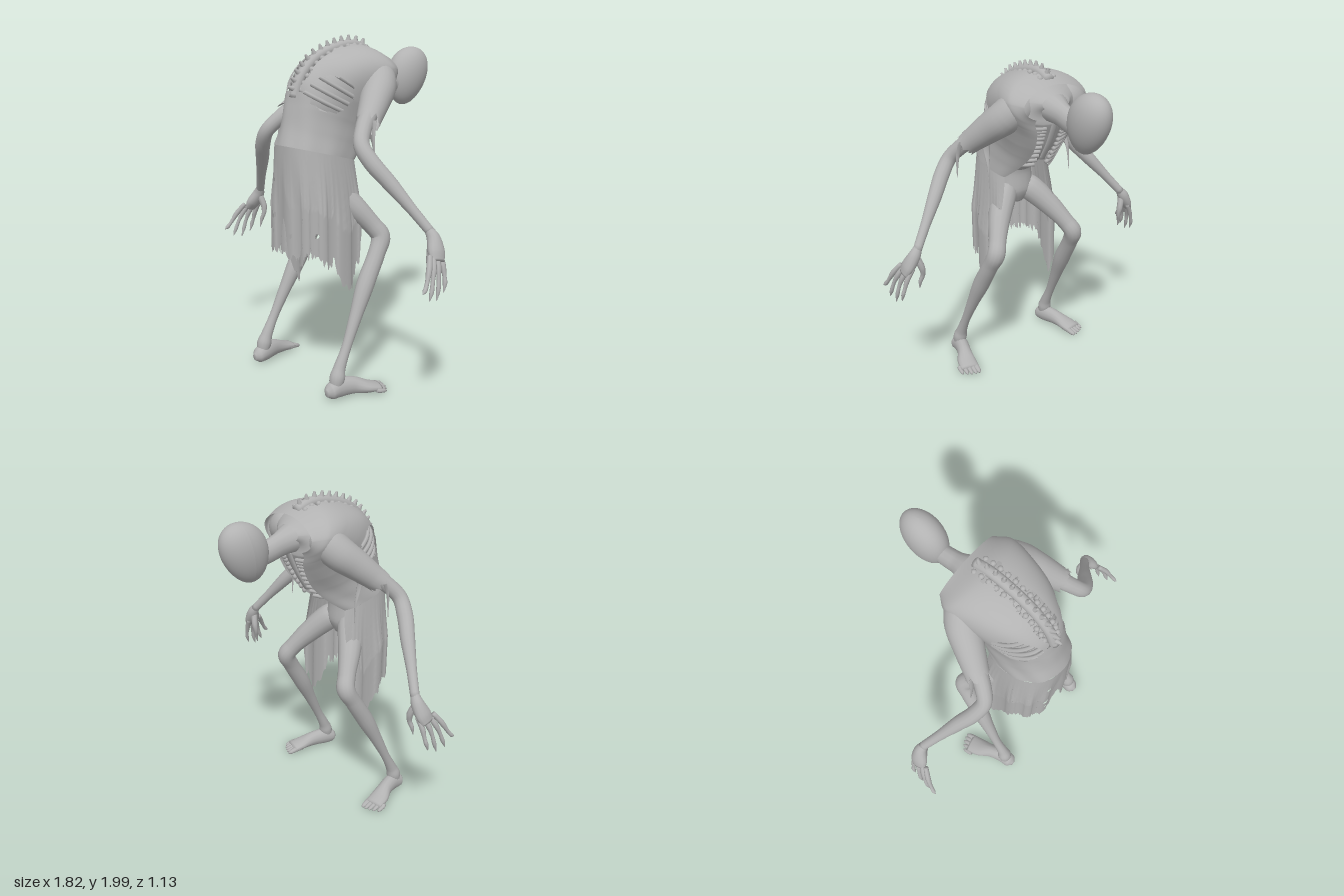
import * as THREE from 'three';

const V = (x, y, z) => new THREE.Vector3(x, y, z);
const grey = new THREE.MeshStandardMaterial({ color: 0xb2b2b2, side: THREE.DoubleSide });
grey.name = 'ashGrey';
const clamp = THREE.MathUtils.clamp, lerp = THREE.MathUtils.lerp;
const spow = (v, e) => Math.sign(v) * Math.abs(v) ** e;
const hash = (n) => { const s = Math.sin(n * 12.9898) * 43758.5453; return s - Math.floor(s); };

export function createModel() {
  const group = new THREE.Group();
  group.name = 'hunchedFigure';

  const add = (name, geometry, parent = group) => {
    const mesh = new THREE.Mesh(geometry, grey);
    mesh.name = name;
    parent.add(mesh);
    return mesh;
  };
  const build = (pos, idx) => {
    const g = new THREE.BufferGeometry();
    g.setAttribute('position', new THREE.Float32BufferAttribute(pos, 3));
    g.setIndex(idx);
    g.computeVertexNormals();
    return g;
  };

  // Tube of changing width; each key is [x, y, z, radius, radius across]
  const limb = (keys, { ref = V(0, 0, 1), sides = 14, steps = 6, open = false, jag = 0 } = {}) => {
    const path = new THREE.CatmullRomCurve3(keys.map((k) => V(k[0], k[1], k[2])));
    const size = new THREE.CatmullRomCurve3(keys.map((k) => V(k[3], k[4] ?? k[3], 0)));
    const n = (keys.length - 1) * steps, pos = [], idx = [];
    for (let i = 0; i <= n; i++) {
      const c = path.getPoint(i / n), r = size.getPoint(i / n), t = path.getTangent(i / n);
      const side = ref.clone().cross(t).normalize(), up = t.clone().cross(side);
      for (let j = 0; j < sides; j++) {
        const a = (j / sides) * Math.PI * 2;
        const p = c.clone().addScaledVector(side, Math.cos(a) * r.x).addScaledVector(up, Math.sin(a) * r.y);
        if (i === n) p.addScaledVector(t, jag * (hash(j) - 0.3));
        pos.push(p.x, p.y, p.z);
        if (i < n) {
          const q = i * sides + j, s = i * sides + ((j + 1) % sides);
          idx.push(q, s, q + sides, s, s + sides, q + sides);
        }
      }
    }
    if (!open) {
      const first = keys[0], last = keys[keys.length - 1], m = pos.length / 3;
      pos.push(first[0], first[1], first[2], last[0], last[1], last[2]);
      for (let j = 0; j < sides; j++) {
        const k = (j + 1) % sides;
        idx.push(m, k, j, m + 1, n * sides + j, n * sides + k);
      }
    }
    return build(pos, idx);
  };

  // Sheet from a function of u and v, leaving out cells where skip(point) is true
  const sheet = (fn, nu, nv, skip = () => false) => {
    const pts = [], idx = [];
    for (let i = 0; i <= nv; i++) for (let j = 0; j <= nu; j++) pts.push(fn(j / nu, i / nv));
    for (let i = 0; i < nv; i++) for (let j = 0; j < nu; j++) {
      const a = i * (nu + 1) + j, b = a + 1, c = a + nu + 1, d = c + 1;
      if (skip(pts[a].clone().add(pts[d]).multiplyScalar(0.5))) continue;
      idx.push(a, b, c, b, d, c);
    }
    return build(pts.flatMap((p) => [p.x, p.y, p.z]), idx);
  };

  // Torso cross-sections from waist to collar: back point, belly point, half width, opening angle
  const backLine = new THREE.CatmullRomCurve3([[1.40, 0.555], [1.5, 0.52], [1.62, 0.49], [1.75, 0.45],
    [1.86, 0.35], [1.925, 0.2], [1.945, 0.04], [1.895, -0.115]].map(([y, z]) => V(0, y, z)));
  const bellyLine = new THREE.CatmullRomCurve3([[1.28, 0.09], [1.36, 0.03], [1.44, -0.03], [1.51, -0.075],
    [1.58, -0.105], [1.63, -0.12], [1.67, -0.125], [1.7, -0.13]].map(([y, z]) => V(0, y, z)));
  const widths = new THREE.CatmullRomCurve3([[0.2, 2.25], [0.19, 2.5], [0.195, 2.66], [0.22, 2.72],
    [0.245, 2.74], [0.262, 2.72], [0.262, 2.64], [0.215, 2.5]].map(([w, a]) => V(w, a, 0)));
  const torso = (v, a, k = 1) => {
    const b = backLine.getPoint(v), f = bellyLine.getPoint(v), w = widths.getPoint(v).x;
    const p = b.clone().add(f).multiplyScalar(0.5);
    // the back turns from rounded at the waist to sloping at the shoulders
    const slope = Math.cos(a) > 0 ? lerp(0.88, 1.25, clamp(v * 1.4 - 0.4, 0, 1)) : 0.88;
    p.addScaledVector(b.sub(f), 0.5 * k * spow(Math.cos(a), slope));
    p.x = w * k * spow(Math.sin(a), slope > 0.88 ? lerp(0.88, 1.02, (slope - 0.88) / 0.37) : 0.88);
    return p;
  };

  // Torn coat, with gaps over the spine and the ribs
  const torn = (p) => {
    const x = Math.abs(p.x), rag = 0.012 * Math.sin(p.y * 90 + p.z * 70);
    const spineGap = x < 0.06 + rag && p.y > 1.69 && p.z > 0.03;
    const ribGap = x > 0.075 && ((p.z - 0.34) / 0.115) ** 2 + ((p.y - 1.68) / 0.1) ** 2 < 1 + rag * 8;
    return spineGap || ribGap;
  };
  add('coatBody', sheet((u, v) => {
    const open = widths.getPoint(v).y;
    return torso(v, (u * 2 - 1) * open, 1 + 0.012 * Math.sin(u * 40 + v * 9) * (1 - v));
  }, 150, 90, torn));

  // Ragged skirt hanging from the waist, built from the hem upward
  const hem = (a) => {
    const s = Math.abs(a);
    let y = 0.755 + 0.06 * hash(Math.round(a * 22)) + 0.012 * Math.sin(a * 61);
    if (s < 0.14) y = lerp(1.0, y, s / 0.14);
    const strip = clamp(1 - Math.abs(s - 1.66) / 0.28, 0, 1);
    return y - 0.05 * clamp((s - 0.9) * 2, 0, 1) - 0.2 * strip;
  };
  const holes = [[-0.1, 1.0, 0.02], [-0.1, 0.9, 0.012], [0.06, 0.9, 0.012], [0.2, 0.91, 0.012], [-0.09, 1.2, 0.01]];
  add('skirt', sheet((u, rise) => {
    const t = 1 - rise, s = u * 2 - 1, top = torso(0, s * 2.25), a = s * lerp(2.25, 1.95, t);
    const fold = 1 + 0.03 * Math.min(1, t * 2) * spow(Math.sin(a * 13), 0.6);
    const e = Math.min(1, t * 1.8);
    return V(lerp(top.x, 0.242 * fold * spow(Math.sin(a), 0.78), e), lerp(top.y, hem(a), t),
      lerp(top.z, 0.31 + 0.245 * fold * spow(Math.cos(a), 0.74), e));
  }, 220, 80, (p) => p.z > 0.35 && holes.some(([x, y, r]) => Math.hypot(p.x - x, p.y - y) < r)));

  // Gaunt body beneath the coat
  const bodyScale = (v) => (0.55 + 0.32 * Math.min(1, v * 3)) * (1 - 0.5 * clamp((v - 0.8) / 0.2, 0, 1));
  add('chest', sheet((u, v) => torso(v, (u * 2 - 1) * Math.PI, bodyScale(v)), 48, 30));
  add('abdomen', limb([[0, 1.08, 0.3, 0.05, 0.05], [0, 1.16, 0.3, 0.12, 0.085], [0, 1.28, 0.31, 0.115, 0.09],
    [0, 1.42, 0.3, 0.11, 0.12]]));
  add('breastbone', limb([0.25, 0.45, 0.65, 0.85].map((v) => {
    const p = torso(v, Math.PI, 0.89); return [0, p.y, p.z, 0.02, 0.01]; })));

  // Ribs
  const ribs = new THREE.Group();
  ribs.name = 'ribs';
  group.add(ribs);
  for (const s of [1, -1]) for (let i = 0; i < 10; i++) {
    const keys = [];
    for (let j = 0; j <= 8; j++) {
      const q = j / 8, p = torso(0.2 + i * 0.06 - 0.05 * Math.sin(q * 3), 0.2 + q * 2.75, 0.925);
      keys.push([p.x * s, p.y, p.z, 0.0125]);
    }
    add('rib', limb(keys, { sides: 6, steps: 3, ref: V(0.1, 0.7, -0.7) }), ribs);
  }

  // Spine with blunt bony spikes
  const spine = new THREE.Group();
  spine.name = 'spine';
  group.add(spine);
  add('spineCord', limb([0.33, 0.45, 0.58, 0.7, 0.85, 0.95].map((v) => {
    const p = torso(v, 0, 0.945); return [0, p.y, p.z, 0.03]; }), { ref: V(1, 0, 0) }), spine);
  for (let i = 0; i < 13; i++) {
    const v = 0.38 + i * 0.045, p = torso(v, 0, 0.965), t = backLine.getTangent(v);
    const out = V(0, -t.z, t.y).normalize();
    const turn = new THREE.Quaternion().setFromUnitVectors(V(0, 1, 0), out);
    const knob = add('vertebra', new THREE.SphereGeometry(0.022, 10, 8), spine);
    knob.position.copy(p);
    const spike = add('spineSpike', new THREE.CylinderGeometry(0.006, 0.02, 0.045, 8), spine);
    spike.position.copy(p).addScaledVector(out, 0.03);
    spike.quaternion.copy(turn);
    for (const s of [1, -1]) {
      const head = add('ribHead', new THREE.SphereGeometry(0.017, 8, 6), spine);
      head.position.copy(torso(v, 0.2 * s, 0.935));
      head.position.x = s * 0.046;
    }
  }

  // Neck and smooth egg-shaped head
  add('neck', limb([[0, 1.79, 0.08, 0.13, 0.09], [0, 1.765, -0.08, 0.1, 0.085], [0, 1.735, -0.19, 0.056, 0.068],
    [0, 1.71, -0.28, 0.052, 0.066], [0, 1.705, -0.38, 0.05, 0.06]], { ref: V(0, 1, 0) }));
  const egg = new THREE.SphereGeometry(1, 40, 28), ep = egg.attributes.position;
  for (let i = 0; i < ep.count; i++) {
    const y = ep.getY(i), k = 1 + 0.14 * y;
    ep.setXYZ(i, ep.getX(i) * k * 0.1, y * 0.175, ep.getZ(i) * k * 0.143 - y * 0.035);
  }
  egg.computeVertexNormals();
  add('head', egg).position.set(0, 1.743, -0.412);

  // Arms, sleeves and legs, mirrored
  for (const s of [1, -1]) {
    const side = new THREE.Group();
    side.name = s > 0 ? 'leftLimbs' : 'rightLimbs';
    group.add(side);
    const part = (name, keys, opts) => add(name, limb(keys.map(([x, ...r]) => [x * s, ...r]), opts), side);

    part('sleeve', [[0.1, 1.79, 0.03, 0.08], [0.175, 1.765, 0.01, 0.1], [0.232, 1.71, 0.045, 0.098], [0.288, 1.635, 0.13, 0.086],
      [0.35, 1.54, 0.235, 0.068]], { open: true, jag: 0.06, sides: 24 });
    const cloth = { sides: 8, steps: 4 };
    part('sleeveTatter', [[0.285, 1.59, 0.17, 0.03, 0.004], [0.283, 1.5, 0.17, 0.022, 0.004],
      [0.288, 1.4, 0.14, 0.01, 0.003], [0.292, 1.27, 0.13, 0.002, 0.002]], cloth);
    part('sleeveTatter', [[0.405, 1.55, 0.24, 0.02, 0.004], [0.42, 1.46, 0.26, 0.012, 0.004], [0.43, 1.33, 0.26, 0.002, 0.002]], cloth);

    part('arm', [[0.22, 1.72, 0.05, 0.05], [0.31, 1.6, 0.18, 0.052], [0.375, 1.5, 0.295, 0.046], [0.425, 1.425, 0.35, 0.044],
      [0.49, 1.34, 0.335, 0.046], [0.57, 1.24, 0.285, 0.042], [0.68, 1.1, 0.22, 0.029], [0.765, 0.99, 0.17, 0.026]]);
    part('palm', [[0.755, 1.005, 0.175, 0.024], [0.785, 0.96, 0.17, 0.036, 0.038], [0.82, 0.9, 0.185, 0.034, 0.052],
      [0.845, 0.855, 0.2, 0.02, 0.045]]);
    for (let i = 0; i < 4; i++) {
      const z = 0.15 + i * 0.033, x = -0.008 * (3 - i), d = i === 0 || i === 3 ? 0.04 : 0;
      part('finger', [[0.835 + x, 0.89, z, 0.014], [0.868 + x, 0.83, z + 0.01 + i * 0.01, 0.016], [0.887 + x, 0.77, z + 0.015 + i * 0.02, 0.011],
        [0.896 + x, 0.72 + d * 0.5, z + 0.02 + i * 0.026, 0.012], [0.9 + x, 0.65 + d + i * 0.012, z + 0.035 + i * 0.028, 0.002]], { sides: 8, steps: 4 });
    }
    part('thumb', [[0.775, 0.95, 0.17, 0.022], [0.75, 0.88, 0.155, 0.02], [0.745, 0.83, 0.16, 0.014],
      [0.757, 0.79, 0.17, 0.012], [0.76, 0.74, 0.18, 0.002]], { sides: 8, steps: 4 });

    part('leg', [[0.03, 1.2, 0.33, 0.045], [0.1, 1.14, 0.275, 0.08], [0.19, 1.03, 0.19, 0.068], [0.26, 0.92, 0.11, 0.054],
      [0.29, 0.86, 0.08, 0.056], [0.305, 0.77, 0.125, 0.05], [0.315, 0.62, 0.215, 0.052], [0.33, 0.45, 0.305, 0.038],
      [0.342, 0.28, 0.39, 0.028], [0.345, 0.17, 0.445, 0.035], [0.348, 0.12, 0.463, 0.044], [0.348, 0.06, 0.475, 0.035]]);
    const flat = { ref: V(0, 1, 0) };
    part('foot', [[0.345, 0.045, 0.54, 0.015, 0.02], [0.345, 0.05, 0.51, 0.045, 0.046], [0.352, 0.062, 0.45, 0.045, 0.058],
      [0.375, 0.058, 0.37, 0.044, 0.05], [0.405, 0.038, 0.29, 0.06, 0.033], [0.42, 0.025, 0.22, 0.06, 0.02]], flat);
    for (let i = 0; i < 5; i++) {
      const x = 0.372 + i * 0.024, r = i ? 0.015 : 0.019, z = 0.162 + i * i * 0.003;
      part('toe', [[x, 0.028, 0.27, r, r], [x + 0.007, 0.023, z + 0.05, r, r * 0.85], [x + 0.012, 0.015, z + 0.015, r * 0.8, r * 0.7],
        [x + 0.014, 0.011, z, r * 0.3, r * 0.3]], { ...flat, sides: 8, steps: 4 });
    }
  }
  return group;
}
